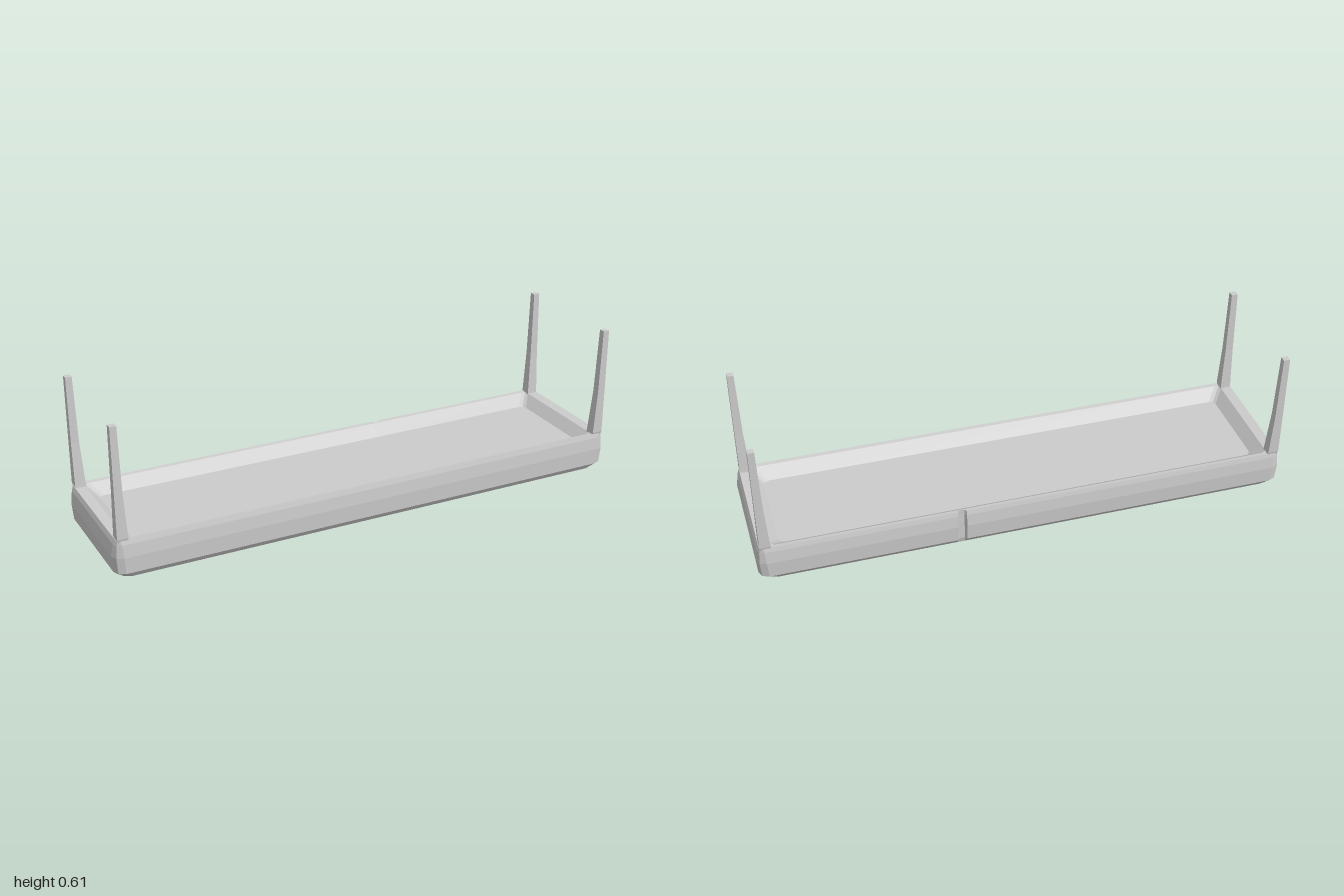
import * as THREE from 'three';

const material = new THREE.MeshStandardMaterial({ color: 0xcccccc, flatShading: true, side: THREE.DoubleSide });

// Skins a stack of closed rings (arrays of [x, y, z] with equal counts).
function loft(rings, capEnds = false) {
  const n = rings[0].length, index = [];
  for (let i = 0; i < rings.length - 1; i++) {
    for (let j = 0; j < n; j++) {
      const a = i * n + j, b = i * n + (j + 1) % n;
      index.push(a, a + n, b, b, a + n, b + n);
    }
  }
  if (capEnds) {
    const top = (rings.length - 1) * n;
    for (let j = 1; j < n - 1; j++) {
      index.push(0, j, j + 1, top, top + j + 1, top + j);
    }
  }
  const geometry = new THREE.BufferGeometry();
  geometry.setAttribute('position', new THREE.Float32BufferAttribute(rings.flat(2), 3));
  geometry.setIndex(index);
  const flat = geometry.toNonIndexed();
  flat.computeVertexNormals();
  return flat;
}

// Rounded rectangle at height y, with a narrow seam pressed into the back edge.
function trayRing([hx, hz, y, radius, seam]) {
  const r = Math.min(radius, hx, hz), points = [], steps = 2;
  [[1, 1], [-1, 1], [-1, -1], [1, -1]].forEach(([sx, sz], corner) => {
    if (corner === 3) {
      [[0.235, 0], [0.242, seam], [0.262, seam], [0.27, 0]].forEach(([x, d]) => points.push([x, y, -hz + d]));
    }
    for (let k = 0; k <= steps; k++) {
      const a = (corner + k / steps) * Math.PI / 2;
      points.push([sx * (hx - r) + r * Math.cos(a), y, sz * (hz - r) + r * Math.sin(a)]);
    }
  });
  return points;
}

// Square post section, held to its outer corner and widening inward.
function postRing([y, width, inset], sx, sz) {
  const outerX = 0.983 - inset, outerZ = 0.248 - inset;
  const corners = [[0, 0], [1, 0], [1, 1], [0, 1]].map(([i, k]) =>
    [sx * (outerX - i * width), y, sz * (outerZ - k * width)]);
  return sx * sz > 0 ? corners : corners.reverse();
}

export function createModel() {
  const model = new THREE.Group();
  model.name = 'trayWithPosts';

  // Shallow tray: curved underside, bulging walls, rim, gently sloped inside and floor
  const sections = [ // half length, half width, height, corner radius, seam depth
    [0.86, 0, 0.002, 0, 0],
    [0.87, 0.10, 0.006, 0.03, 0],
    [0.90, 0.18, 0.018, 0.04, 0],
    [0.97, 0.235, 0.041, 0.04, 0],
    [0.994, 0.251, 0.063, 0.035, 0.01],
    [0.999, 0.254, 0.125, 0.035, 0.014],
    [0.992, 0.250, 0.172, 0.025, 0.012],
    [0.984, 0.246, 0.189, 0.012, 0.008],
    [0.945, 0.230, 0.187, 0.02, 0],
    [0.905, 0.182, 0.15, 0.02, 0],
    [0.80, 0, 0.15, 0, 0],
  ];
  const tray = new THREE.Mesh(loft(sections.map(trayRing)), material);
  tray.name = 'tray';
  model.add(tray);

  // Four corner posts, flared where they meet the rim
  const postSections = [ // height, width, inset from the outer corner
    [0.165, 0.035, 0.008], [0.195, 0.04, 0], [0.36, 0.03, 0], [0.61, 0.024, 0],
  ];
  for (const sx of [-1, 1]) {
    for (const sz of [-1, 1]) {
      const rings = postSections.map((section) => postRing(section, sx, sz));
      const post = new THREE.Mesh(loft(rings, true), material);
      post.name = (sz > 0 ? 'front' : 'back') + (sx > 0 ? 'Left' : 'Right') + 'Post';
      model.add(post);
    }
  }

  // The whole piece sits very slightly askew
  model.rotation.y = -0.0135;
  return model;
}
